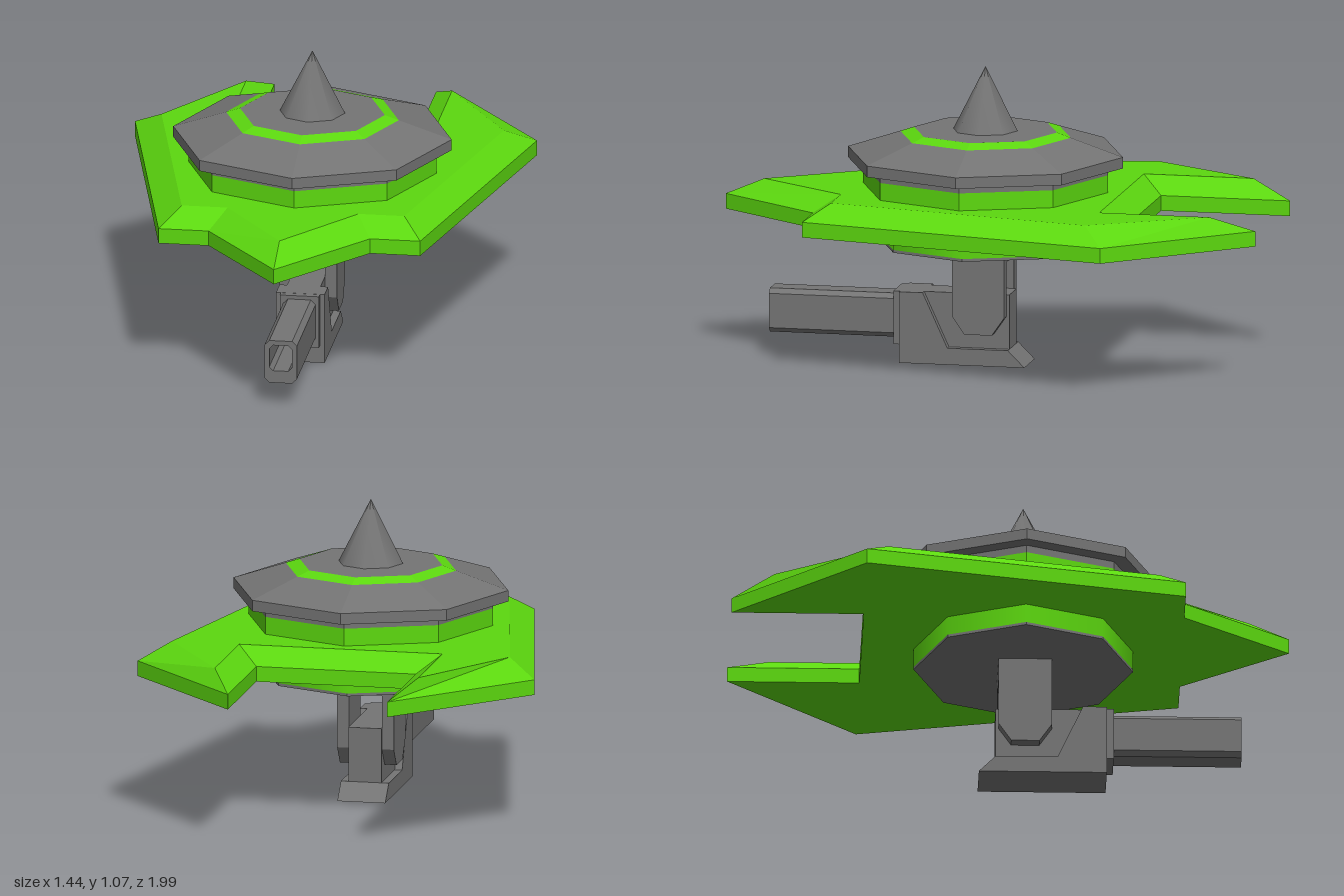
import * as THREE from 'three';

const green = new THREE.MeshStandardMaterial({ color: 0x5cd80f });
green.name = 'brightGreen';
const grey = new THREE.MeshStandardMaterial({ color: 0x747474 });
grey.name = 'metalGrey';

const HUB_Z = 0.045;

function add(group, name, geometry, material) {
  const mesh = new THREE.Mesh(geometry, material);
  mesh.name = name;
  group.add(mesh);
  return mesh;
}

// Faceted copy of a geometry
function flat(geometry) {
  const g = geometry.index ? geometry.toNonIndexed() : geometry;
  g.computeVertexNormals();
  return g;
}

// Octagonal turned part, profile of [radius, y] from bottom to top
function octagon(profile) {
  const points = profile.map(([r, y]) => new THREE.Vector2(r, y));
  return flat(new THREE.LatheGeometry(points, 8)).translate(0, 0, HUB_Z);
}

// Side profile of [z, y] points, extruded across x around a centre
function sideSlab(points, width, centreX = 0) {
  const shape = new THREE.Shape(points.map(([z, y]) => new THREE.Vector2(z, y)));
  const g = new THREE.ExtrudeGeometry(shape, { depth: width, bevelEnabled: false });
  return g.rotateY(-Math.PI / 2).translate(centreX + width / 2, 0, 0);
}

// Rectangle with cut corners in the xy plane
function cutRect(Type, halfW, y0, y1, c) {
  return new Type([
    [-halfW + c, y0], [halfW - c, y0], [halfW, y0 + c], [halfW, y1 - c],
    [halfW - c, y1], [-halfW + c, y1], [-halfW, y1 - c], [-halfW, y0 + c],
  ].map(([x, y]) => new THREE.Vector2(x, y)));
}

// Complete a half outline of [x, z], starting on the centre line
function mirrored(half) {
  return [...half, ...half.slice(1).reverse().map(([x, z]) => [-x, z])];
}

// Hull lofted through outlines at rising heights, capped at both ends
function loftHull(levels) {
  const pos = [];
  const put = (level, i) => {
    const [x, z] = level.loop[i % level.loop.length];
    pos.push(x, level.y, z);
  };
  for (let k = 0; k < levels.length - 1; k++) {
    const a = levels[k], b = levels[k + 1];
    for (let i = 0; i < a.loop.length; i++) {
      put(a, i); put(a, i + 1); put(b, i + 1);
      put(a, i); put(b, i + 1); put(b, i);
    }
  }
  const cap = (level, up) => {
    const contour = level.loop.map(([x, z]) => new THREE.Vector2(x, -z));
    for (const [a, b, c] of THREE.ShapeUtils.triangulateShape(contour, [])) {
      for (const i of up ? [a, b, c] : [a, c, b]) put(level, i);
    }
  };
  cap(levels[0], false);
  cap(levels[levels.length - 1], true);
  const g = new THREE.BufferGeometry();
  g.setAttribute('position', new THREE.Float32BufferAttribute(pos, 3));
  g.computeVertexNormals();
  return g;
}

export function createModel() {
  const model = new THREE.Group();
  model.name = 'saucerShip';

  // Swept wing plate with bevelled rim
  const rim = mirrored([[0, 0.99], [0.29, 0.61], [0.47, 0.61], [0.722, -0.53], [0.29, -1], [0.29, -0.53]]);
  const deck = mirrored([[0, 0.85], [0.235, 0.52], [0.40, 0.52], [0.615, -0.45], [0.37, -0.85], [0.37, -0.45]]);
  add(model, 'wingPlate', loftHull([
    { y: 0.515, loop: rim }, { y: 0.57, loop: rim }, { y: 0.63, loop: deck },
  ]), green);

  // Drum and dome above the wing
  const dome = new THREE.Group();
  dome.name = 'dome';
  model.add(dome);
  add(dome, 'upperDrum', octagon([[0.445, 0.63], [0.445, 0.693]]), green);
  add(dome, 'upperDrumCollar', octagon([[0.445, 0.693], [0.445, 0.72]]), grey);
  add(dome, 'domeRoof', octagon([[0.445, 0.72], [0.5, 0.72], [0.5, 0.76], [0.31, 0.823]]), grey);
  add(dome, 'domeRing', octagon([[0.31, 0.823], [0.26, 0.84]]), green);
  add(dome, 'domeCap', octagon([[0.26, 0.84], [0, 0.84]]), grey);
  const spike = new THREE.ConeGeometry(0.117, 0.23, 8, 1, true);
  add(dome, 'spike', spike.translate(0, 0.955, HUB_Z), grey);

  // Drum below the wing
  const lower = new THREE.CylinderGeometry(0.39, 0.39, 0.07, 8, 1, true);
  add(model, 'lowerDrum', lower.translate(0, 0.48, HUB_Z), green);
  add(model, 'lowerDrumBase', octagon([[0, 0.435], [0.39, 0.435], [0.39, 0.445]]), grey);

  // Hanging fork that carries the gun
  const fork = new THREE.Group();
  fork.name = 'gunFork';
  model.add(fork);
  const arm = [[-0.045, 0.375], [-0.045, 0.18], [0, 0.115], [0.1, 0.115], [0.145, 0.18], [0.145, 0.375]];
  for (const side of [-1, 1]) {
    add(fork, side > 0 ? 'leftForkArm' : 'rightForkArm', sideSlab(arm, 0.043, side * 0.0815), grey);
  }
  add(fork, 'forkBridge', new THREE.BoxGeometry(0.206, 0.06, 0.19).translate(0, 0.405, 0.05), grey);

  // Gun body, narrowed between the fork arms
  const gun = new THREE.Group();
  gun.name = 'gun';
  model.add(gun);
  add(gun, 'gunBody', sideSlab([
    [-0.115, 0], [0.34, 0], [0.34, 0.257], [0.255, 0.257], [0.165, 0.06], [-0.055, 0.06],
  ], 0.174), grey);
  add(gun, 'gunCore', sideSlab([
    [-0.055, 0.06], [0.165, 0.06], [0.255, 0.257], [-0.055, 0.257],
  ], 0.12), grey);
  add(gun, 'gunFrontPlate', new THREE.BoxGeometry(0.14, 0.193, 0.025).translate(0, 0.16, 0.3525), grey);

  // Hollow barrel with cut corners
  const barrel = cutRect(THREE.Shape, 0.058, 0.085, 0.243, 0.017);
  barrel.holes.push(cutRect(THREE.Path, 0.041, 0.13, 0.226, 0.014));
  const tube = new THREE.ExtrudeGeometry(barrel, { depth: 0.455, bevelEnabled: false });
  add(gun, 'barrel', tube.translate(0, 0, 0.365), grey);

  return model;
}
